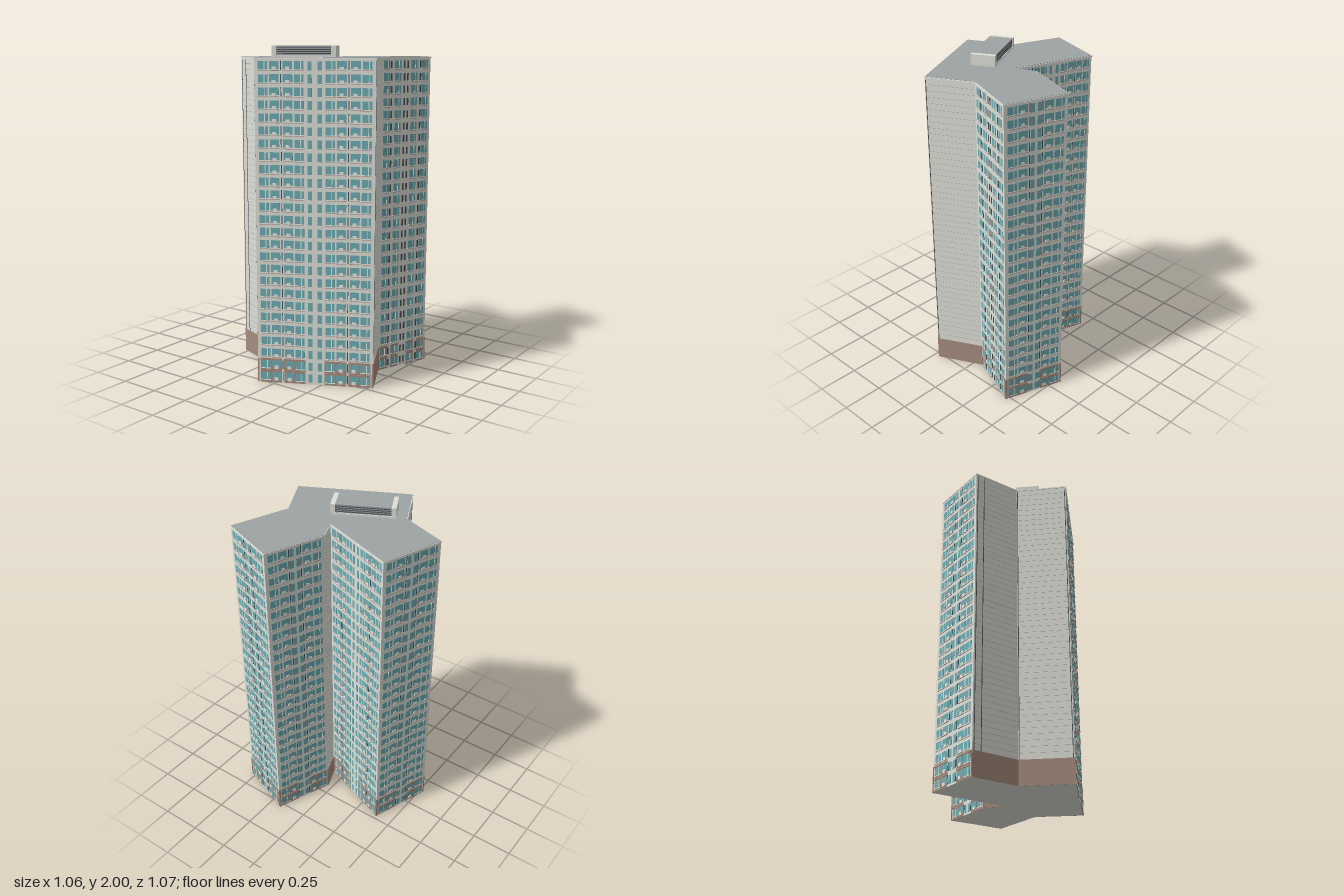
import * as THREE from 'three';
import { mergeGeometries } from 'three/addons/utils/BufferGeometryUtils.js';

const paint = (name, color) => {
  const m = new THREE.MeshStandardMaterial({ color });
  m.name = name;
  return m;
};

export function createModel() {
  const mats = {
    wall: paint('paleConcrete', 0xdfe0d8),
    frame: paint('whiteTrim', 0xe8e8e2),
    glass: paint('tealGlass', 0x6cadb3),
    dark: paint('darkRecess', 0x4c5254),
    brown: paint('brownCladding', 0xa68c7d),
    roof: paint('greyRoof', 0x9ea3a3),
    seam: paint('greySeam', 0x9b9da2),
  };
  const model = new THREE.Group();
  model.name = 'apartmentTower';

  const FLOORS = 26, TOP = 1.925, FH = TOP / FLOORS, BASE = 2 * FH;

  // Footprint corners (x, z), counter-clockwise from above
  const plan = [
    [0.17, -0.535], [0.03, -0.18], [0.075, -0.06], [-0.395, -0.23], [-0.53, 0.145],
    [-0.24, 0.25], [-0.10, 0.53], [0.53, 0.215], [0.395, -0.05], [0.53, -0.40],
  ].map(([x, z]) => new THREE.Vector2(x, z));

  // Same footprint set back evenly
  const outward = (a, b) => new THREE.Vector2(a.y - b.y, b.x - a.x).normalize();
  const inset = (d) => plan.map((p, i) => {
    const n1 = outward(plan.at(i - 1), p);
    const n2 = outward(p, plan[(i + 1) % plan.length]);
    const miter = d / (1 + n1.dot(n2));
    return p.clone().addScaledVector(n1, -miter).addScaledVector(n2, -miter);
  });
  const inner = inset(0.0035);

  // Flat prism over the footprint
  function prism(name, points, y, height, materials) {
    const shape = new THREE.Shape(points.map((p) => new THREE.Vector2(p.x, -p.y)));
    const geo = new THREE.ExtrudeGeometry(shape, { depth: height, bevelEnabled: false });
    geo.rotateX(-Math.PI / 2);
    const mesh = new THREE.Mesh(geo, materials);
    mesh.name = name;
    mesh.position.y = y;
    model.add(mesh);
  }
  prism('towerBody', inner, 0, TOP, mats.wall);
  prism('roofEdge', plan, TOP, 0.008, mats.frame);
  prism('roofDeck', inset(0.004), TOP + 0.008, 0.002, mats.roof);

  // Collects boxes by colour, then merges each colour into one mesh
  function builder(name) {
    const parts = {};
    return {
      // x, y: lower left corner; z0 to z1: depth range
      box(mat, x, y, w, h, z0, z1) {
        const g = new THREE.BoxGeometry(w, h, z1 - z0);
        g.translate(x + w / 2, y + h / 2, (z0 + z1) / 2);
        (parts[mat] ??= []).push(g);
      },
      finish() {
        const group = new THREE.Group();
        group.name = name;
        for (const [mat, list] of Object.entries(parts)) {
          const mesh = new THREE.Mesh(mergeGeometries(list), mats[mat]);
          mesh.name = name + '_' + mats[mat].name;
          group.add(mesh);
        }
        model.add(group);
        return group;
      },
    };
  }

  // Places a builder along a wall: local x runs along it, local z points out
  function alongWall(name, i, fill) {
    const a = inner[i], b = inner[(i + 1) % inner.length];
    const parts = builder(name);
    fill(parts, a.distanceTo(b));
    const g = parts.finish();
    g.position.set(a.x, 0, a.y);
    g.rotation.y = Math.atan2(a.y - b.y, b.x - a.x);
  }

  // One storey of each bay type
  const bays = {
    // wide window with mullion, sill and slab edge
    w(b, x, y, w) {
      b.box('glass', x + w * 0.08, y + 0.017, w * 0.84, 0.046, 0, 0.0015);
      b.box('frame', x + w * 0.6, y + 0.017, w * 0.08, 0.046, 0, 0.0025);
      b.box('frame', x + w * 0.05, y + 0.012, w * 0.9, 0.005, 0, 0.003);
      b.box('brown', x + w * 0.05, y + 0.009, w * 0.9, 0.003, 0, 0.0025);
    },
    // balcony: glazing, small parapet and slab edge
    b(b, x, y, w) {
      b.box('glass', x + w * 0.08, y + 0.02, w * 0.84, 0.044, 0, 0.0015);
      b.box('frame', x + w * 0.3, y + 0.012, w * 0.36, 0.02, 0, 0.0035);
      b.box('brown', x + w * 0.06, y + 0.009, w * 0.88, 0.003, 0, 0.0035);
    },
    // narrow stair window
    n(b, x, y, w) {
      b.box('glass', x, y + 0.012, w, 0.05, 0, 0.0015);
    },
    // dark service opening
    d(b, x, y, w) {
      b.box('dark', x, y + 0.018, w, 0.042, 0, 0.0015);
    },
    // dark joint between flats
    '|'(b, x, y, w) {
      b.box('dark', x + w * 0.3, y + 0.014, w * 0.4, 0.052, 0, 0.0015);
    },
    '.'() {},
  };
  const widths = { w: 4, b: 4, n: 1.5, d: 0.8, '|': 0.8, '.': 1 };

  function windowWall(name, i, pattern) {
    alongWall(name, i, (b, length) => {
      const total = [...pattern].reduce((s, c) => s + widths[c], 0);
      let x = 0;
      for (const c of pattern) {
        const w = widths[c] / total * length;
        for (let f = 0; f < FLOORS; f++) bays[c](b, x, f * FH, w);
        // brown cladding and bands on the two lowest storeys
        if (c === 'w' || c === 'b') {
          b.box('brown', x, 0, w, BASE, -0.002, 0.0008);
          for (const f of [1, 2]) b.box('brown', x, f * FH - 0.008, w, 0.011, 0, 0.004);
        }
        x += w;
      }
      // corner posts at the base
      for (const px of [0, length - 0.008]) b.box('brown', px, 0, 0.008, BASE, 0, 0.0035);
    });
  }
  windowWall('northWingWestWall', 0, '.wb|n.n|bw.');
  windowWall('westWingBackWall', 2, '.wb|bw.n..n.wb|bw.');
  windowWall('westWingEndWall', 3, '.wb|n.n|bw.');
  windowWall('frontWall', 6, '.wb|bw.n..n.wb|bw.');
  windowWall('northWingEastWall', 8, '.wd.w.d.d.w.dw.');
  windowWall('northWingEndWall', 9, '.wb|n.n|bw.');

  // Blank walls: brown base, fine seams every half storey, dark upright joints
  function blankWall(name, i, joints) {
    alongWall(name, i, (b, length) => {
      b.box('brown', 0, 0, length, BASE, 0, 0.002);
      for (let k = 5; k < 2 * FLOORS; k++) {
        b.box('seam', length * 0.02, k * FH / 2, length * 0.96, 0.0012, 0, 0.0005);
      }
      for (const t of joints) b.box('dark', t * length, BASE, 0.004, TOP - BASE - 0.01, 0, 0.0015);
    });
  }
  blankWall('notchWall', 1, []);
  blankWall('westWingFrontWall', 4, [0.03, 0.18]);
  blankWall('frontWingWestWall', 5, [0.01, 0.97]);
  blankWall('frontWingEastWall', 7, [0.01]);

  // Rooftop plant house with louvred long sides
  const p = builder('plantHouse');
  const L = 0.38, W = 0.148, H = 0.065, CAP = 0.028;
  for (const s of [-1, 1]) {
    p.box('wall', s * (L - CAP) / 2 - CAP / 2, 0, CAP, H, -W / 2, W / 2);
    const z = s * (W / 2 - 0.006);
    p.box('wall', -L / 2 + CAP, 0, L - 2 * CAP, 0.012, z - 0.004, z + 0.004);
    for (let k = 0; k < 4; k++) {
      p.box('dark', -L / 2 + CAP, 0.018 + k * 0.011, L - 2 * CAP, 0.004, z - 0.003, z + 0.002);
    }
  }
  p.box('seam', -L / 2 + CAP, 0, L - 2 * CAP, H - 0.004, -W / 2 + 0.006, W / 2 - 0.006);
  p.box('roof', -L / 2 + CAP, H - 0.004, L - 2 * CAP, 0.004, -W / 2 + 0.002, W / 2 - 0.002);
  const plant = p.finish();
  plant.position.set(0.015, TOP + 0.01, 0.188);
  plant.rotation.y = 0.475;

  return model;
}
